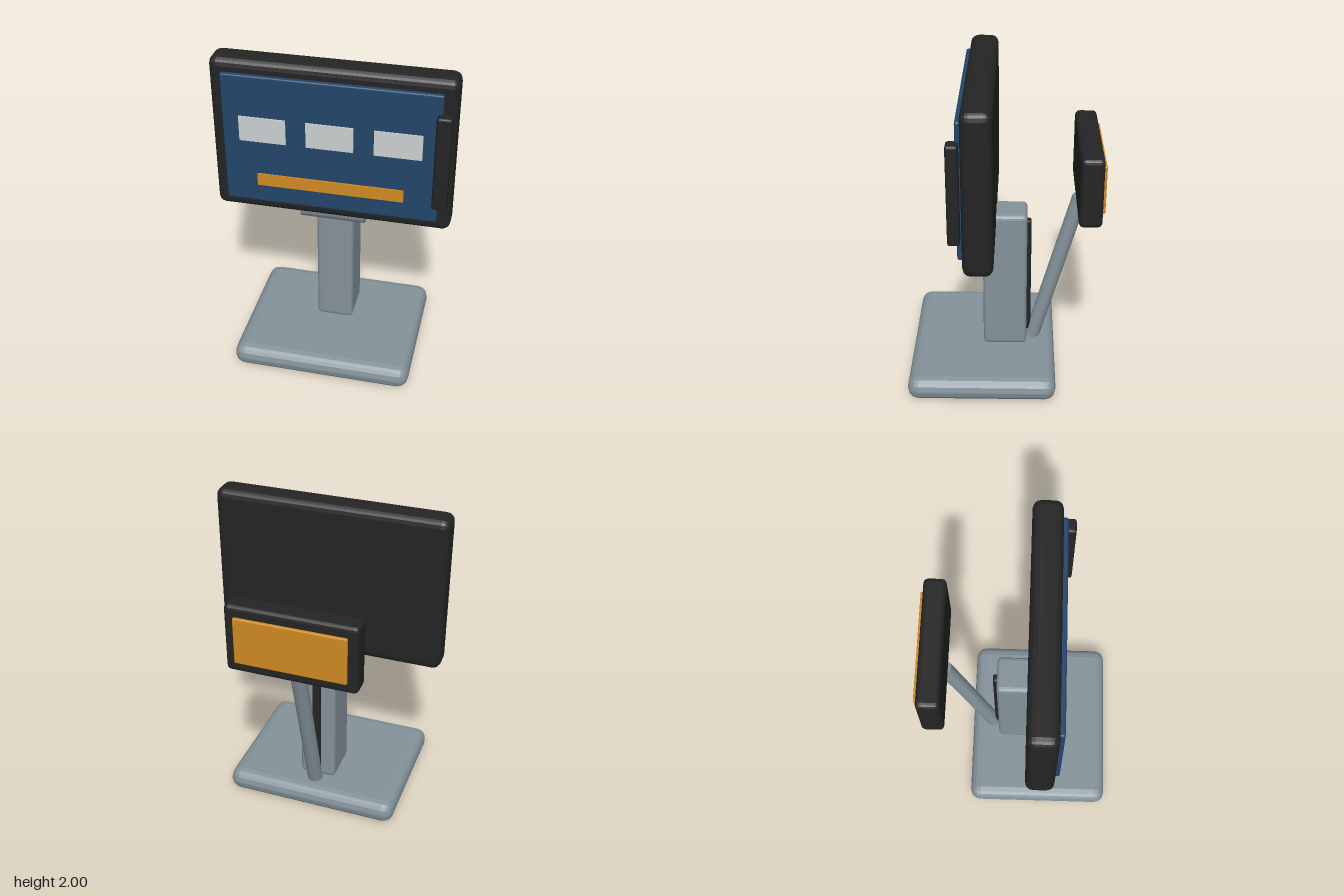
import * as THREE from 'three';
import { RoundedBoxGeometry } from 'three/addons/geometries/RoundedBoxGeometry.js';

const paint = (name, color) => {
  const m = new THREE.MeshStandardMaterial({ color });
  m.name = name;
  return m;
};

export function createModel() {
  const model = new THREE.Group();
  model.name = 'salesTerminal';
  const grey = paint('steel grey', 0x84929a);
  const black = paint('matte black', 0x242424);
  const blue = paint('screen blue', 0x23456a);
  const orange = paint('amber', 0xd08a22);
  const white = paint('pale grey', 0xcdd0d0);

  const add = (name, geometry, material) => {
    const mesh = new THREE.Mesh(geometry, material);
    mesh.name = name;
    model.add(mesh);
    return mesh;
  };

  // Box given by its limits on each axis, with faceted bevels of two steps
  const block = (name, material, [x0, x1], [y0, y1], [z0, z1], bevel = 0) => {
    const size = [x1 - x0, y1 - y0, z1 - z0];
    const geometry = bevel
      ? new RoundedBoxGeometry(...size, 2, bevel)
      : new THREE.BoxGeometry(...size);
    if (bevel) geometry.computeVertexNormals(); // unshared corners give flat facets
    const mesh = add(name, geometry, material);
    mesh.position.set((x0 + x1) / 2, (y0 + y1) / 2, (z0 + z1) / 2);
    return mesh;
  };

  // Round bar between two points
  const rod = (name, material, from, to, radius) => {
    const a = new THREE.Vector3(...from);
    const b = new THREE.Vector3(...to);
    const mesh = add(name, new THREE.CylinderGeometry(radius, radius, a.distanceTo(b), 24), material);
    mesh.position.copy(a).lerp(b, 0.5);
    mesh.quaternion.setFromUnitVectors(new THREE.Vector3(0, 1, 0), b.sub(a).normalize());
    return mesh;
  };

  // Stand
  block('base', grey, [-0.565, 0.565], [0, 0.15], [-0.33, 0.6], 0.07);
  block('post', grey, [-0.118, 0.118], [0.14, 1.09], [-0.145, 0.135], 0.03);
  block('cableCover', black, [-0.026, 0.026], [0.2, 1.015], [-0.172, -0.13], 0.015);
  rod('hinge', grey, [-0.2, 1.015, 0.14], [0.2, 1.015, 0.14], 0.07);

  // Main screen
  block('screenHousing', black, [-0.725, 0.725], [1, 2], [0.05, 0.228], 0.05);
  block('screenPanel', blue, [-0.645, 0.645], [1.08, 1.92], [0.222, 0.257], 0.01);
  for (const x of [-0.403, 0, 0.403]) {
    block('screenTile', white, [x - 0.141, x + 0.141], [1.5, 1.66], [0.257, 0.266]);
  }
  block('screenBar', orange, [-0.445, 0.445], [1.2, 1.28], [0.257, 0.266]);
  block('cardReader', black, [0.615, 0.705], [1.2, 1.805], [0.236, 0.308], 0.015);

  // Customer display on its sloping arm
  rod('displayArm', grey, [0, 0.13, -0.179], [0, 1.175, -0.47], 0.048);
  block('displayHousing', black, [-0.405, 0.405], [1.16, 1.6], [-0.582, -0.443], 0.03);
  block('displayPanel', orange, [-0.343, 0.343], [1.23, 1.53], [-0.6, -0.57], 0.008);

  return model;
}
